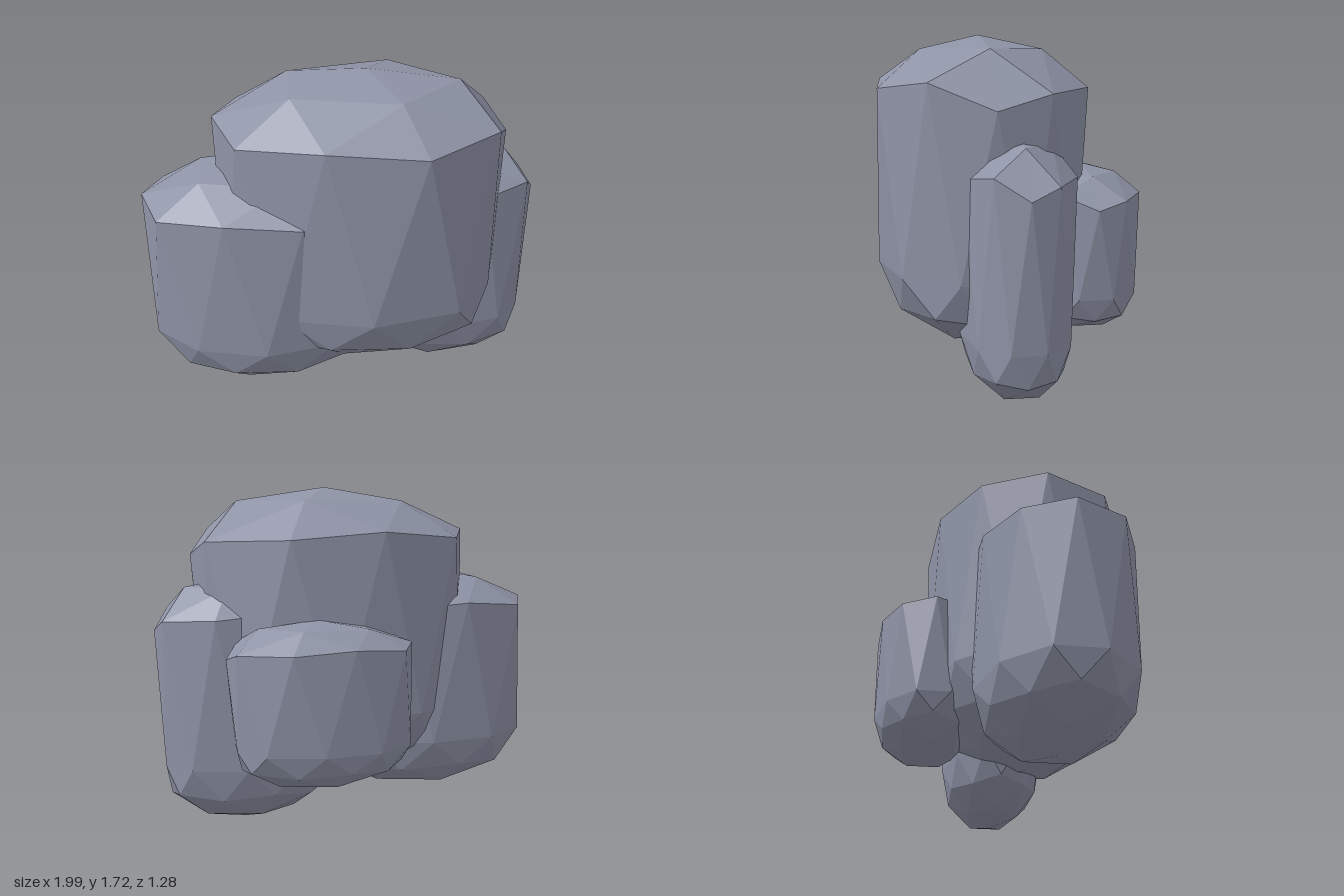
import * as THREE from 'three';
import { ConvexGeometry } from 'three/addons/geometries/ConvexGeometry.js';

// Pole-aligned unit icosphere: rings of [height, count, start angle in degrees]
function unitBoulder() {
  const pts = [new THREE.Vector3(0, 1, 0), new THREE.Vector3(0, -1, 0)];
  const ring = (y, n, start) => {
    const r = Math.sqrt(1 - y * y);
    for (let i = 0; i < n; i++) {
      const a = THREE.MathUtils.degToRad(start + (i * 360) / n);
      pts.push(new THREE.Vector3(r * Math.cos(a), y, r * Math.sin(a)));
    }
  };
  ring(0, 10, 18);
  for (const s of [1, -1]) {
    const turn = s > 0 ? 0 : 36;
    ring(s * 0.8507, 5, turn);
    ring(s * 0.4472, 5, turn);
    ring(s * 0.5257, 5, turn + 36);
  }
  return new ConvexGeometry(pts);
}

// Stretch the boulder: rim and cap go up, the narrower lower half stays at the base
function boulderGeometry({ x, z, bottom, top, rx, ry, rz }) {
  const geo = unitBoulder();
  const pos = geo.attributes.position;
  const taper = 0.85;
  for (let i = 0; i < pos.count; i++) {
    let px = pos.getX(i), py = pos.getY(i), pz = pos.getZ(i);
    const upper = py > 0.1;
    if (upper && px > 0.85) {                                   // chipped rim corner
      px *= 0.9;
      py -= 0.19;
    } else if (upper && py < 0.6 && px > 0.6 && pz < -0.4) {    // its neighbour
      px *= 1.06; py -= 0.11; pz *= 0.87;
    } else if (!upper && px > 0.8) {                            // worn lower side
      px *= py > -0.1 ? 0.9 : 0.94;
    }
    const k = upper ? 1 : taper;
    pos.setXYZ(i,
      x + px * rx * k,
      upper ? top - ry * (1 - py) : bottom + ry * taper * (1 + py),
      z + pz * rz * k);
  }
  geo.computeVertexNormals();
  return geo;
}

export function createModel() {
  const group = new THREE.Group();
  group.name = 'rockCluster';
  const stone = new THREE.MeshStandardMaterial({ color: 0x8e93a6, flatShading: true });
  stone.name = 'stone grey';

  const rocks = {
    mainRock: { x: 0.1, z: 0.13, bottom: 0.19, top: 1.715, rx: 0.87, ry: 0.46, rz: 0.6 },
    rightRock: { x: -0.42, z: 0.19, bottom: 0.1, top: 1.295, rx: 0.68, ry: 0.355, rz: 0.464 },
    leftRock: { x: 0.54, z: 0.01, bottom: 0, top: 1.27, rx: 0.56, ry: 0.365, rz: 0.31 },
    backRock: { x: 0.21, z: -0.37, bottom: 0.255, top: 1.08, rx: 0.55, ry: 0.245, rz: 0.32 },
  };
  for (const [name, spec] of Object.entries(rocks)) {
    const mesh = new THREE.Mesh(boulderGeometry(spec), stone);
    mesh.name = name;
    group.add(mesh);
  }
  return group;
}
